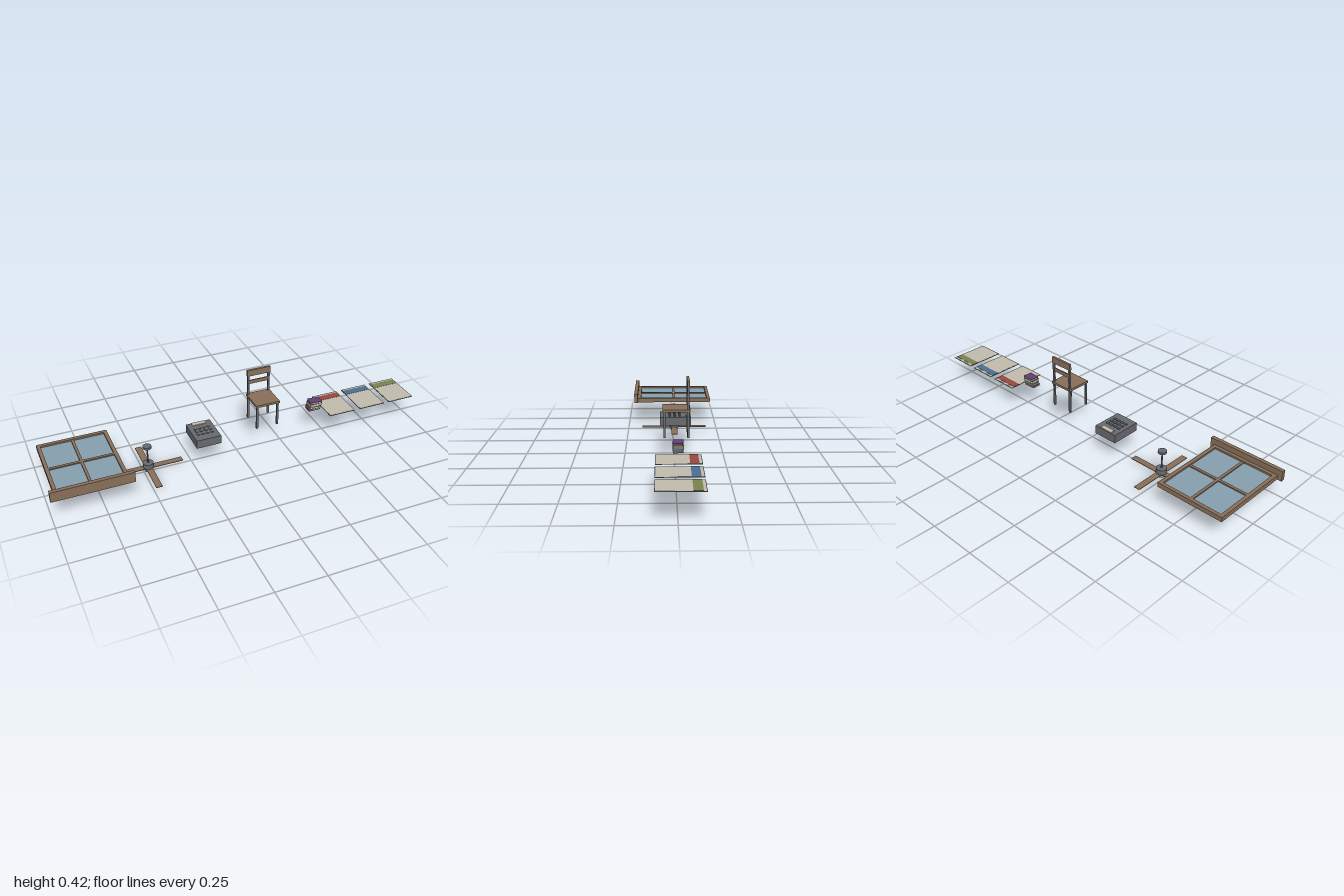
import * as THREE from 'three';

const paint = (name, color) => Object.assign(new THREE.MeshStandardMaterial({ color }), { name });
const wood = paint('wood', 0x8a705a);
const metal = paint('metal', 0x686b71);
const glass = paint('glass', 0x87a0b0);
const cream = paint('cream', 0xc3beae);
const red = paint('red', 0x9a4a42);
const blue = paint('blue', 0x4c6f92);
const green = paint('green', 0x7b8450);
const purple = paint('purple', 0x634076);

function group(parent, name, x = 0, y = 0, z = 0) {
  const g = new THREE.Group();
  g.name = name;
  g.position.set(x, y, z);
  parent.add(g);
  return g;
}

// Box given by its ranges on each axis
function box(parent, name, mat, [x0, x1], [y0, y1], [z0, z1]) {
  const m = new THREE.Mesh(new THREE.BoxGeometry(x1 - x0, y1 - y0, z1 - z0), mat);
  m.position.set((x0 + x1) / 2, (y0 + y1) / 2, (z0 + z1) / 2);
  m.name = name;
  parent.add(m);
  return m;
}

function cylinder(parent, name, mat, r, y0, y1, sides = 16) {
  const m = new THREE.Mesh(new THREE.CylinderGeometry(r, r, y1 - y0, sides), mat);
  m.position.y = (y0 + y1) / 2;
  m.name = name;
  parent.add(m);
}

// Four-pane window lying flat, with a raised sill
function addWindow(root) {
  const g = group(root, 'window', -0.8, 0.126, -0.01);
  const w = 0.177, d = 0.21, t = 0.018, h = 0.024;
  for (const s of [-1, 1]) {
    box(g, 'frameSide', wood, s < 0 ? [-w, -w + t] : [w - t, w], [0, h], [-d, d]);
    box(g, 'frameEnd', wood, [-w + t, w - t], [0, h], s < 0 ? [-d, -d + t] : [d - t, d]);
  }
  box(g, 'longBar', wood, [-0.007, 0.007], [0.003, 0.021], [-d + t, d - t]);
  box(g, 'crossBar', wood, [-w + t, w - t], [0.003, 0.021], [-0.007, 0.007]);
  box(g, 'pane', glass, [-w + t, w - t], [0.009, 0.015], [-d + t, d - t]);
  box(g, 'sill', wood, [-0.2, 0.2], [0, 0.054], [d, 0.23]);
}

// Ceiling fan with four blades
function addFan(root) {
  const g = group(root, 'fan', -0.474, 0, -0.009);
  cylinder(g, 'lamp', glass, 0.0195, 0, 0.018);
  cylinder(g, 'motor', metal, 0.027, 0.017, 0.046);
  cylinder(g, 'rod', metal, 0.004, 0.046, 0.135, 8);
  cylinder(g, 'canopy', metal, 0.022, 0.134, 0.146);
  for (let i = 0; i < 4; i++) {
    const arm = group(g, 'blade', 0, 0.019, 0);
    box(arm, 'bladeBoard', wood, [0.02, 0.179], [-0.0015, 0.0015], [-0.0165, 0.0165]);
    arm.rotation.y = i * Math.PI / 2;
  }
}

// Desk machine with a display strip and rows of keys
function addMachine(root) {
  const g = group(root, 'deskMachine', -0.176, 0.116, -0.01);
  box(g, 'body', metal, [-0.065, 0.065], [0, 0.045], [-0.08, 0.08]);
  box(g, 'display', cream, [-0.037, 0.033], [0.045, 0.049], [-0.078, -0.053]);
  for (let row = 0; row < 3; row++) {
    for (let col = 0; col < 4; col++) {
      const x = -0.036 + col * 0.024, z = -0.022 + row * 0.026;
      box(g, 'key', metal, [x - 0.007, x + 0.007], [0.045, 0.049], [z - 0.006, z + 0.006]);
    }
  }
}

// Chair with metal legs and wooden seat and rails
function addChair(root) {
  const g = group(root, 'chair', 0.15, 0.138, 0);
  box(g, 'seat', wood, [-0.065, 0.065], [0.127, 0.139], [-0.076, 0.057]);
  for (const s of [-1, 1]) {
    const x = s * 0.056;
    box(g, 'frontLeg', metal, [x - 0.005, x + 0.005], [0, 0.128], [0.043, 0.053]);
    box(g, 'backPost', metal, [x - 0.005, x + 0.005], [0, 0.278], [-0.071, -0.061]);
  }
  box(g, 'topRail', wood, [-0.063, 0.063], [0.246, 0.28], [-0.072, -0.06]);
  box(g, 'middleRail', wood, [-0.056, 0.056], [0.2, 0.22], [-0.069, -0.063]);
}

// Stack of books, each with two covers, a spine and pages
function addBooks(root) {
  const g = group(root, 'books', 0.446, 0.138, -0.011);
  const books = [
    [red, 0.0095, -0.004, 0.03], [blue, 0.0115, 0, -0.06],
    [green, 0.0165, 0.003, 0.05], [purple, 0.0115, 0.006, -0.08],
  ];
  let y = 0;
  for (const [mat, h, x, turn] of books) {
    const b = group(g, 'book', x, y, 0);
    b.rotation.y = turn;
    const c = 0.0018;
    box(b, 'lowerCover', mat, [-0.032, 0.032], [0, c], [-0.024, 0.024]);
    box(b, 'upperCover', mat, [-0.032, 0.032], [h - c, h], [-0.024, 0.024]);
    box(b, 'spine', mat, [0.03, 0.032], [c, h - c], [-0.024, 0.024]);
    box(b, 'pages', cream, [-0.03, 0.03], [c, h - c], [-0.0225, 0.0225]);
    y += h;
  }
}

// Three flat posters on dark backing boards
function addPosters(root) {
  [[0.567, red], [0.746, blue], [0.923, green]].forEach(([x, mat]) => {
    const g = group(root, 'poster', x, 0.136, -0.011);
    box(g, 'backing', metal, [-0.074, 0.074], [0, 0.002], [-0.104, 0.104]);
    box(g, 'sheet', cream, [-0.071, 0.071], [0.002, 0.003], [-0.101, 0.101]);
    box(g, 'band', mat, [-0.071, 0.071], [0.003, 0.004], [-0.089, -0.049]);
  });
}

export function createModel() {
  const root = new THREE.Group();
  root.name = 'furnishings';
  [addWindow, addFan, addMachine, addChair, addBooks, addPosters].forEach((add) => add(root));
  return root;
}
